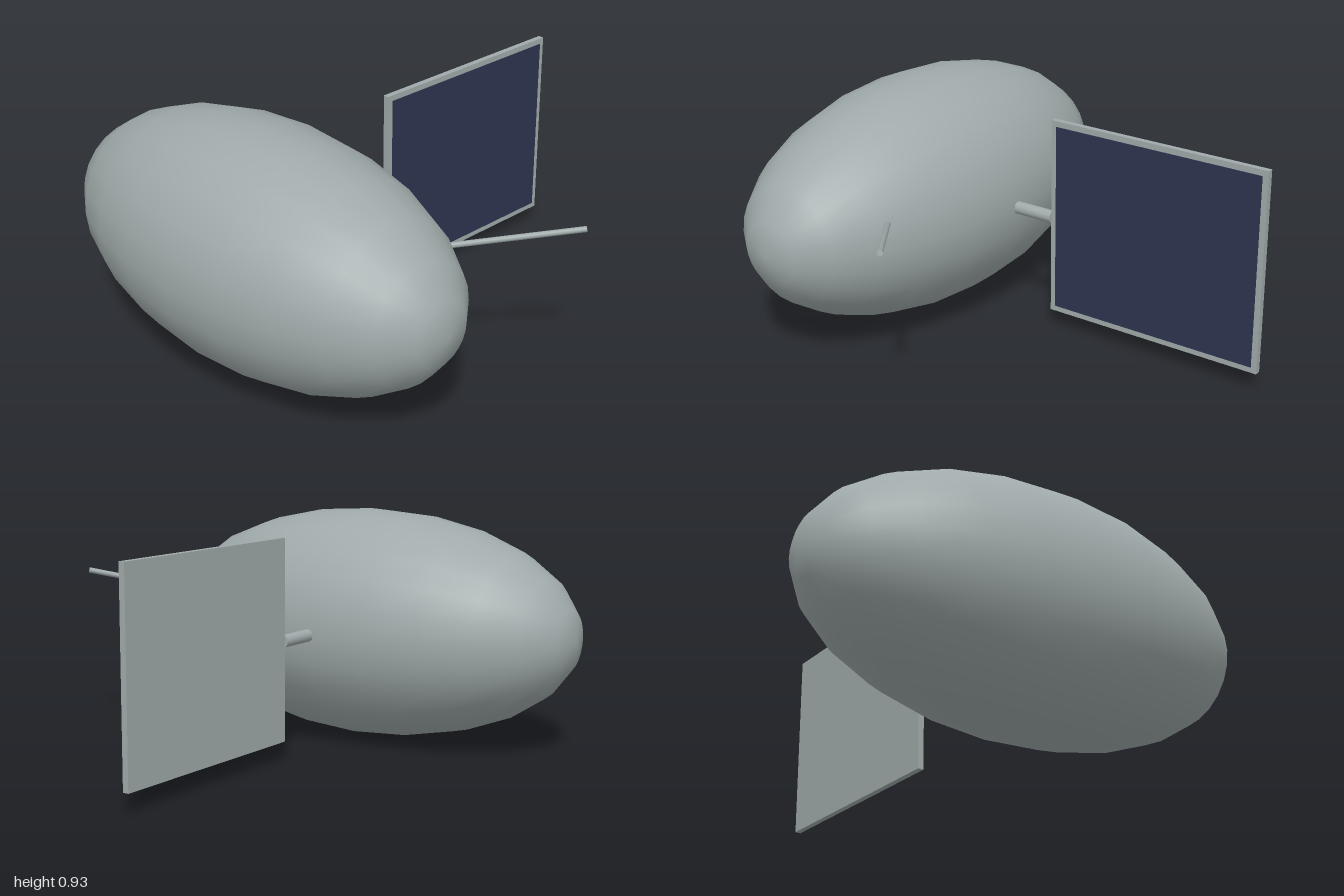
import * as THREE from 'three';

const Y = 0.463, Z = -0.034; // shared axis of body, strut and panel

export function createModel() {
  const group = new THREE.Group();
  const gray = new THREE.MeshStandardMaterial({ color: 0xa0aaaa });
  gray.name = 'hull gray';
  const navy = new THREE.MeshStandardMaterial({ color: 0x2d3550 });
  navy.name = 'cell navy';

  const add = (name, geometry, material, x, y, z) => {
    const mesh = new THREE.Mesh(geometry, material);
    mesh.name = name;
    mesh.position.set(x, y, z);
    group.add(mesh);
    return mesh;
  };

  // Round rod between two points
  const rod = (name, from, to, radius, sides) => {
    const a = new THREE.Vector3(...from), b = new THREE.Vector3(...to);
    const dir = b.clone().sub(a);
    const mid = a.clone().add(b).multiplyScalar(0.5);
    const mesh = add(name, new THREE.CylinderGeometry(radius, radius, dir.length(), sides), gray, mid.x, mid.y, mid.z);
    mesh.quaternion.setFromUnitVectors(new THREE.Vector3(0, 1, 0), dir.normalize());
  };

  // Ellipsoid body, poles along z
  const hull = new THREE.SphereGeometry(1, 24, 12);
  hull.rotateX(Math.PI / 2);
  hull.scale(0.463, 0.463, 0.925);
  add('body', hull, gray, -0.537, Y, Z);

  // Strut carrying the panel
  rod('strut', [-0.12, Y, Z], [0.09, Y, Z], 0.025, 12);

  // Solar panel with a thin cell face on the front
  add('panel', new THREE.BoxGeometry(0.91, 0.785, 0.024), gray, 0.545, 0.467, Z);
  add('solarCells', new THREE.BoxGeometry(0.865, 0.74, 0.004), navy, 0.545, 0.467, Z + 0.0135);

  // Slanted antenna
  rod('antenna', [-0.21, 0.567, 0.58], [0.085, 0.664, 0.953], 0.011, 8);

  return group;
}
